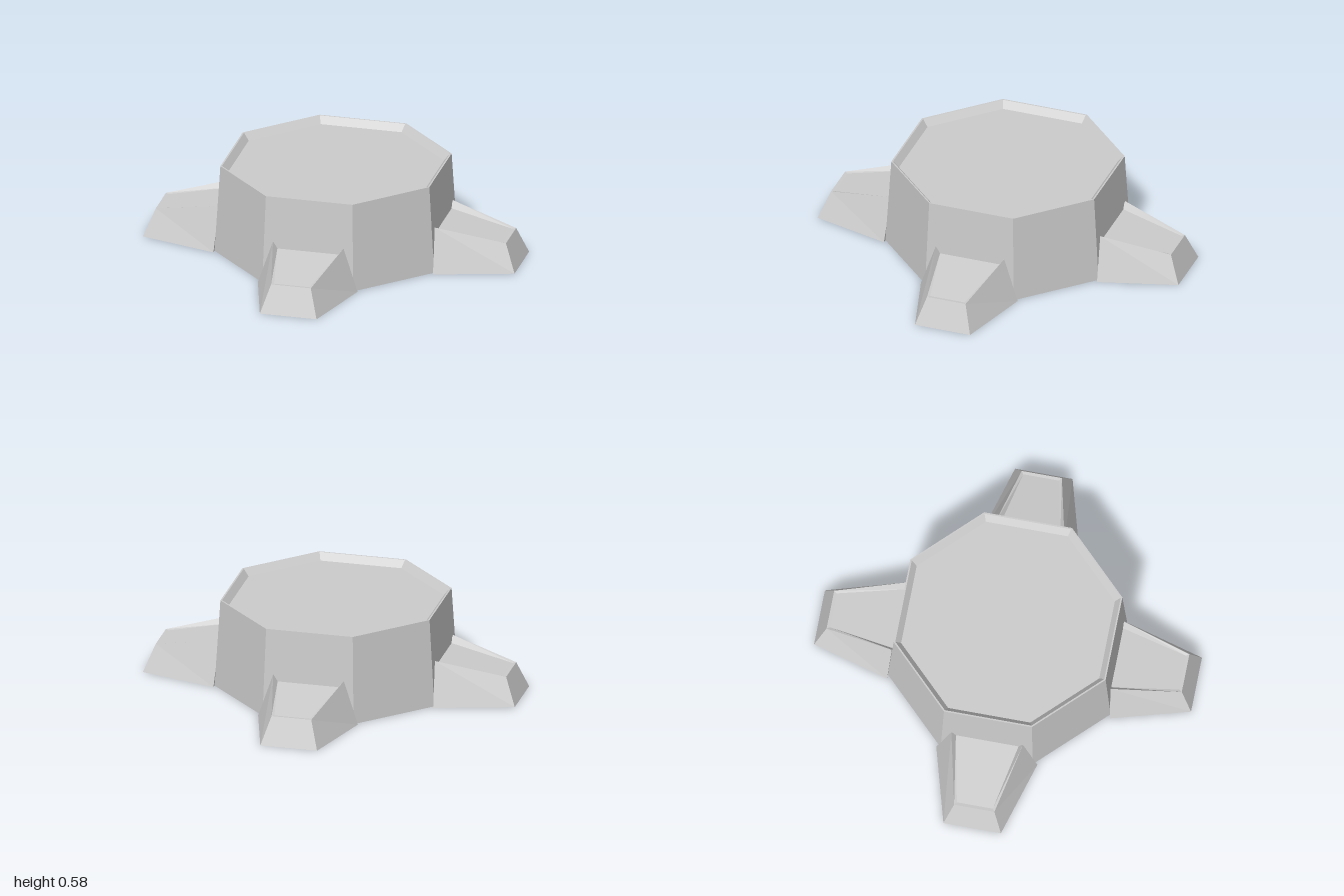
import * as THREE from 'three';

const material = new THREE.MeshStandardMaterial({ color: 0xcccccc, flatShading: true });

// Octagonal drum with a tapered wall, narrow rim and shallow recessed top.
function createBody() {
  const profile = [
    [0, 0], [0.725, 0], [0.69, 0.585], [0.68, 0.585], [0.645, 0.54], [0, 0.54],
  ].map(([apothem, y]) => new THREE.Vector2(apothem / Math.cos(Math.PI / 8), y));
  const geometry = new THREE.LatheGeometry(profile, 8);
  geometry.rotateY(Math.PI / 8);
  const body = new THREE.Mesh(geometry, material);
  body.name = 'octagonalBody';
  return body;
}

// Cross-section of a foot: base corners, raised side edges, sunken top panel.
function footSection(base, edge, panel) {
  const [a, b, c] = [base, edge, panel].map(([w, y, z]) => [[-w, y, z], [w, y, z]]);
  return [a[0], a[1], b[1], c[1], c[0], b[0]];
}

// Tapering foot running outward along +z, lofted between two sections.
function createFootGeometry() {
  const inner = footSection([0.329, 0, 0.725], [0.233, 0.285, 0.712], [0.205, 0.24, 0.705]);
  const outer = footSection([0.187, 0, 1.227], [0.131, 0.18, 1.156], [0.117, 0.178, 1.136]);
  const positions = [];
  const tri = (...corners) => corners.forEach((p) => positions.push(...p));
  for (let i = 0; i < 6; i++) {
    const j = (i + 1) % 6;
    tri(inner[i], inner[j], outer[j]);
    tri(inner[i], outer[j], outer[i]);
  }
  // End caps
  for (const [a, b, c] of [[0, 1, 2], [0, 2, 5], [5, 2, 3], [5, 3, 4]]) tri(outer[a], outer[b], outer[c]);
  for (const [a, b, c] of [[0, 1, 3], [1, 2, 3], [0, 3, 4], [0, 4, 5]]) tri(inner[c], inner[b], inner[a]);
  const geometry = new THREE.BufferGeometry();
  geometry.setAttribute('position', new THREE.Float32BufferAttribute(positions, 3));
  geometry.computeVertexNormals();
  return geometry;
}

export function createModel() {
  const model = new THREE.Group();
  model.name = 'footedPlatform';
  model.add(createBody());

  // One foot on each diagonal
  const footGeometry = createFootGeometry();
  ['frontLeftFoot', 'backLeftFoot', 'backRightFoot', 'frontRightFoot'].forEach((name, i) => {
    const foot = new THREE.Mesh(footGeometry, material);
    foot.name = name;
    foot.rotation.y = Math.PI / 4 + (i * Math.PI) / 2;
    model.add(foot);
  });
  return model;
}
